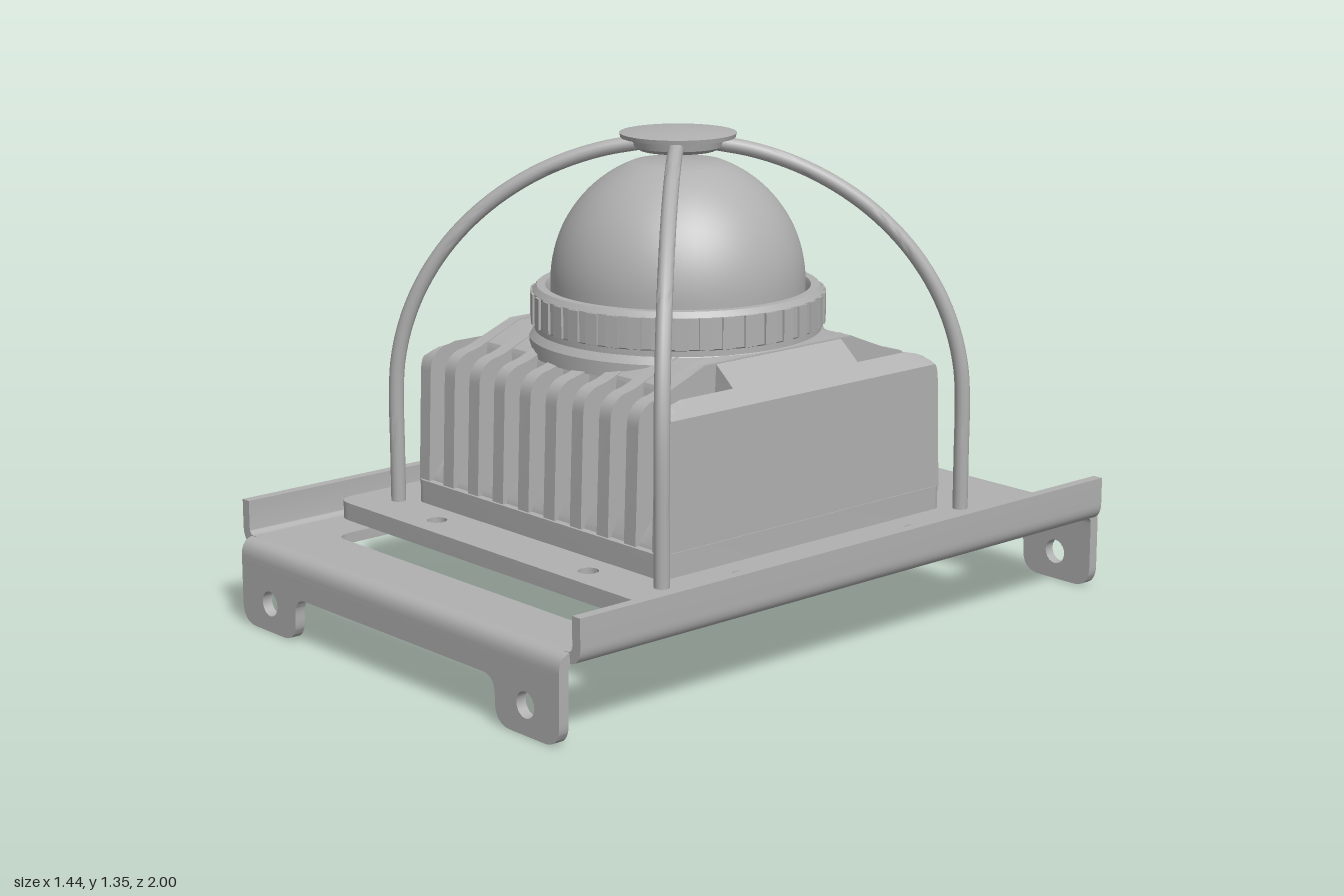
import * as THREE from 'three';
import { toCreasedNormals } from 'three/addons/utils/BufferGeometryUtils.js';

const metal = new THREE.MeshStandardMaterial({ color: 0xb0b0b0 });

// polygon with rounded corners; each point is [x, y, radius]
function rounded(pts, Type = THREE.Shape) {
  const path = new Type();
  pts.forEach(([x, y, r = 0], i) => {
    const toward = (q) => {
      const dx = q[0] - x, dy = q[1] - y, l = Math.hypot(dx, dy);
      return [x + (dx / l) * r, y + (dy / l) * r];
    };
    const a = toward(pts[(i + pts.length - 1) % pts.length]);
    const b = toward(pts[(i + 1) % pts.length]);
    if (i === 0) path.moveTo(...a); else path.lineTo(...a);
    if (r) path.quadraticCurveTo(x, y, ...b);
  });
  path.closePath();
  return path;
}
const rect = (hx, hy, r, Type, cy = 0) =>
  rounded([[-hx, cy - hy, r], [hx, cy - hy, r], [hx, cy + hy, r], [-hx, cy + hy, r]], Type);
const hole = (x, y, r) => new THREE.Path().absarc(x, y, r, 0, Math.PI * 2, true);
const extrude = (shape, depth, steps = 1) =>
  new THREE.ExtrudeGeometry(shape, { depth, steps, bevelEnabled: false, curveSegments: 10 });
// horizontal plate with its underside at y
const plate = (shape, y, t) => extrude(shape, t).rotateX(-Math.PI / 2).translate(0, y, 0);

export function createModel() {
  const model = new THREE.Group();
  const add = (name, geo, parent = model) => {
    const mesh = new THREE.Mesh(toCreasedNormals(geo, 0.6), metal);
    mesh.name = name;
    parent.add(mesh);
    return mesh;
  };
  const group = (name, parent = model) => {
    const g = new THREE.Group();
    g.name = name;
    parent.add(g);
    return g;
  };
  const lathe = (pts, seg = 64) => new THREE.LatheGeometry(pts.map((p) => new THREE.Vector2(...p)), seg);

  // folded bracket with three slots
  const bracket = group('bracket');
  const floor = rect(0.67, 0.95, 0);
  floor.holes.push(rect(0.52, 0.22, 0.05, THREE.Path, 0.58), rect(0.52, 0.22, 0.05, THREE.Path, -0.58),
    rect(0.52, 0.16, 0.05, THREE.Path));
  const mount = rect(0.68, 0.68, 0.06);
  for (const sx of [-1, 1]) for (const sz of [-1, 1]) {
    floor.holes.push(hole(sx * 0.6, sz * 0.32, 0.025));
    mount.holes.push(hole(sx * 0.6, sz * 0.32, 0.025), hole(sx * 0.32, sz * 0.6, 0.028));
  }
  add('bracketFloor', plate(floor, 0.21, 0.03), bracket);

  const half = [[0.68, 0.19], [0.68, 0, 0.06], [0.43, 0, 0.06], [0.43, 0.125, 0.05]];
  const legShape = rounded([...half.map(([x, y, r]) => [-x, y, r]),
    ...half.slice().reverse()]);
  legShape.holes.push(hole(-0.55, 0.08, 0.035), hole(0.55, 0.08, 0.035));
  const lip = rounded([[0.66, 0.21], [0.72, 0.21, 0.05], [0.72, 0.335], [0.69, 0.335], [0.69, 0.24, 0.02], [0.66, 0.24]]);
  const fold = rounded([[-0.94, 0.24], [-0.94, 0.21], [-0.97, 0.21, 0.02], [-0.97, 0.18], [-1, 0.18], [-1, 0.24, 0.05]]);
  for (const turn of [0, Math.PI]) {
    add('legFlange', extrude(legShape, 0.03).translate(0, 0, 0.97).rotateY(turn), bracket);
    add('legFold', extrude(fold, 1.36).rotateY(Math.PI / 2).translate(-0.68, 0, 0).rotateY(turn), bracket);
    add('sideLip', extrude(lip, 1.93).translate(0, 0, -0.965).rotateY(turn), bracket);
  }
  add('mountPlate', plate(mount, 0.24, 0.05));

  // finned housing: slabs of one section, with the roof falling off towards both sides
  const housing = group('housing');
  add('housingBase', plate(rect(0.515, 0.52, 0.03), 0.29, 0.065), housing);
  const slab = (name, x0, x1, side, steps = 1) => {
    const section = rounded([...side, ...side.slice().reverse().map(([z, y, r]) => [-z, y, r])]);
    const geo = extrude(section, x1 - x0, steps).rotateY(Math.PI / 2).translate(x0, 0, 0);
    const p = geo.attributes.position;
    for (let i = 0; i < p.count; i++) {
      const roof = 0.8 - 0.87 * Math.max(0, Math.abs(p.getX(i)) - 0.4);
      p.setY(i, Math.min(p.getY(i), roof));
    }
    return add(name, geo, housing);
  };
  const finSide = [[0.512, 0.35], [0.498, 0.725, 0.06], [0.42, 0.738, 0.02], [0.27, 0.8]];
  const coreSide = [[0.5, 0.35], [0.495, 0.37], [0.4, 0.5, 0.05], [0.385, 0.75, 0.01], [0.27, 0.798]];
  const cornerSide = [[0.5, 0.35], [0.495, 0.37], [0.38, 0.5, 0.04], [0.24, 0.6, 0.04], [0.23, 0.798]];
  slab('housingCore', -0.402, 0.402, coreSide);
  for (let k = -4; k < 4; k++) {
    const x = (k + 0.5) * 0.109;
    slab('fin', x - 0.0225, x + 0.0225, finSide);
  }
  for (const s of [-1, 1]) {
    slab('cornerCore', s > 0 ? 0.4 : -0.47, s > 0 ? 0.47 : -0.4, cornerSide, 2);
    slab('sideWall', s > 0 ? 0.468 : -0.512, s > 0 ? 0.512 : -0.468, finSide, 3);
    // bridges closing the corner slots at mid-depth of the roof
  }

  // ribbed lens collar
  const collar = group('collar');
  add('collarSeat', lathe([[0.41, 0.74], [0.41, 0.78], [0.395, 0.8], [0.395, 0.83]]), collar);
  add('collarRing', lathe([[0.3, 0.812], [0.39, 0.812], [0.4, 0.82], [0.4, 0.905], [0.388, 0.92],
    [0.365, 0.92], [0.36, 0.91], [0.355, 0.88], [0.3, 0.88]]), collar);
  const ribs = 40;
  for (let i = 0; i < ribs; i++) {
    add('collarRib', new THREE.BoxGeometry(0.012, 0.085, 0.036).translate(0.4, 0.862, 0)
      .rotateY(((i + 0.5) / ribs) * Math.PI * 2), collar);
  }

  // dome with a flattened top
  const dome = [[0.35, 0.87]];
  const cut = Math.acos(0.125 / 0.35);
  for (let i = 0; i <= 20; i++) {
    const a = (i / 20) * cut;
    dome.push([0.35 * Math.cos(a), 0.93 + 0.35 * Math.sin(a)]);
  }
  dome.push([0, 1.257]);
  add('lensDome', lathe(dome));

  // wire guard
  const guard = group('guard');
  for (let q = 0; q < 4; q++) {
    const pts = [new THREE.Vector3(0.785, 0.28, 0), new THREE.Vector3(0.785, 0.45, 0)];
    for (let i = 0; i <= 12; i++) {
      const a = (i / 12) * 1.44;
      pts.push(new THREE.Vector3(0.785 * Math.cos(a), 0.6 + 0.715 * Math.sin(a), 0));
    }
    const wire = new THREE.TubeGeometry(new THREE.CatmullRomCurve3(pts), 48, 0.021, 12);
    add('guardWire', wire.rotateY(Math.PI / 4 + (q * Math.PI) / 2), guard);
  }
  add('guardCap', lathe([[0, 1.29], [0.105, 1.29], [0.12, 1.3], [0.125, 1.32], [0.157, 1.325], [0.16, 1.337],
    [0.1, 1.346], [0, 1.35]], 48), guard);

  // cable connector on the right wall, turned so its axis points to -x
  const connector = group('connector');
  connector.position.set(-0.51, 0.515, 0);
  connector.rotation.z = Math.PI / 2;
  add('connectorPlate', new THREE.BoxGeometry(0.27, 0.024, 0.27), connector);
  add('connectorBody', lathe([[0.085, 0], [0.085, 0.06], [0.078, 0.065], [0.078, 0.075], [0.095, 0.08],
    [0.095, 0.125], [0.088, 0.135], [0.072, 0.135], [0.072, 0.09], [0, 0.09]], 40), connector);
  for (let i = 0; i < 5; i++) {
    const a = (i / 5) * Math.PI * 2;
    add('connectorPin', new THREE.CylinderGeometry(0.009, 0.009, 0.04, 10)
      .translate(0.04 * Math.cos(a), 0.105, 0.04 * Math.sin(a)), connector);
  }
  for (const a of [-1, 1]) for (const b of [-1, 1]) {
    add('connectorScrew', new THREE.CylinderGeometry(0.022, 0.022, 0.02, 16)
      .translate(a * 0.105, 0.015, b * 0.105), connector);
  }
  return model;
}
